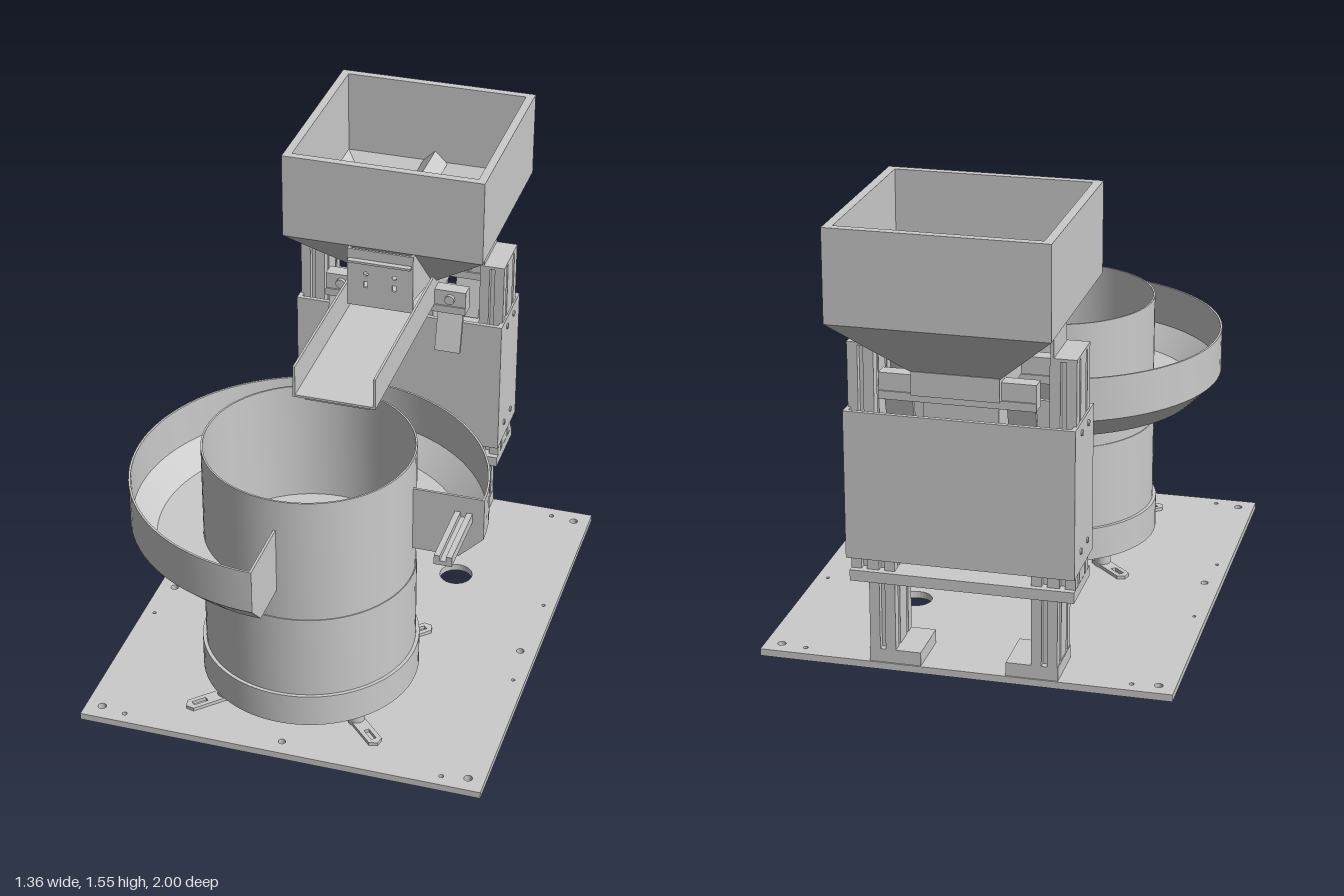
import * as THREE from 'three';
import { toCreasedNormals } from 'three/addons/utils/BufferGeometryUtils.js';

const material = new THREE.MeshStandardMaterial({ color: 0xcccccc, side: THREE.DoubleSide });
const BOWL_X = -0.026, BOWL_Z = 0.417, HOPPER_Z = -0.652;
const V = (pts) => pts.map(([x, y]) => new THREE.Vector2(x, y));

function add(parent, name, geo) {
  const m = new THREE.Mesh(geo, material);
  m.name = name;
  parent.add(m);
  return m;
}

// Box given by its limits on each axis
function box(parent, name, x0, x1, y0, y1, z0, z1) {
  const m = add(parent, name, new THREE.BoxGeometry(x1 - x0, y1 - y0, z1 - z0));
  m.position.set((x0 + x1) / 2, (y0 + y1) / 2, (z0 + z1) / 2);
  return m;
}

function lathe(parent, name, pts, segments, start = 0, length = Math.PI * 2) {
  return add(parent, name, toCreasedNormals(new THREE.LatheGeometry(V(pts), segments, start, length), 0.5));
}

function extrude(shape, depth) {
  return new THREE.ExtrudeGeometry(shape, { depth, bevelEnabled: false, curveSegments: 16 });
}

function hole(x, y, r) {
  return new THREE.Path().absarc(x, y, r, 0, Math.PI * 2, true);
}

// Slotted aluminium profile standing upright, long side along z
function profileColumn(parent, name, x, z, w, d, y0, y1) {
  const a = w / 2, b = d / 2, s = 0.009, n = 0.022, q = d / 4;
  const notchX = (x0, dir, c) => [[x0, c - dir * s], [x0 - dir * n, c - dir * s], [x0 - dir * n, c + dir * s], [x0, c + dir * s]];
  const pts = [
    [a, -b], ...notchX(a, 1, -q), ...notchX(a, 1, q), [a, b],
    [s, b], [s, b - n], [-s, b - n], [-s, b],
    [-a, b], ...notchX(-a, -1, q), ...notchX(-a, -1, -q), [-a, -b],
    [-s, -b], [-s, -b + n], [s, -b + n], [s, -b],
  ];
  const g = extrude(new THREE.Shape(V(pts)), y1 - y0);
  g.rotateX(-Math.PI / 2);
  add(parent, name, g).position.set(x, y0, z);
}

function basePlate(root) {
  const s = new THREE.Shape(V([[-0.68, -0.872], [0.68, -0.872], [0.68, 0.735], [-0.68, 0.735]]));
  s.holes.push(hole(0.3, 0.24, 0.057), hole(0, -0.815, 0.012));
  for (const k of [-1, 1]) {
    for (const [x, z, r] of [[0.625, -0.68, 0.014], [0.625, 0.815, 0.014], [0.625, 0.125, 0.013],
      [0.54, -0.69, 0.008], [0.54, 0.83, 0.008], [0.64, -0.15, 0.006], [0.64, 0.285, 0.006]]) {
      s.holes.push(hole(k * x, -z, r));
    }
  }
  const g = extrude(s, 0.024);
  g.rotateX(-Math.PI / 2);
  add(root, 'basePlate', g);
}

function bowlFeeder(root) {
  const bowl = new THREE.Group();
  bowl.name = 'bowlFeeder';
  bowl.position.set(BOWL_X, 0, BOWL_Z);
  root.add(bowl);

  // Drum with wider foot ring and open top
  lathe(bowl, 'drum', [[0, 0.07], [0.361, 0.07], [0.361, 0.185], [0.349, 0.185], [0.349, 0.484],
    [0.346, 0.484], [0.346, 0.93], [0.34, 0.93], [0.34, 0.5], [0, 0.5]], 72);

  // Collecting trough, three quarters of a turn
  lathe(bowl, 'trough', [[0.346, 0.59], [0.5, 0.59], [0.58, 0.67], [0.58, 0.82], [0.573, 0.82],
    [0.573, 0.673], [0.497, 0.598], [0.346, 0.598]], 64, Math.PI / 2, Math.PI * 1.5);
  const end = extrude(new THREE.Shape(V([[0.34, 0.59], [0.5, 0.59], [0.58, 0.67], [0.58, 0.82], [0.34, 0.82]])), 0.008);
  add(bowl, 'troughEndSide', end).position.z = -0.008;
  add(bowl, 'troughEndFront', end).rotation.y = -Math.PI / 2;

  // Channel rail reaching out from the trough's side end
  const rail = extrude(new THREE.Shape(V([[-0.029, 0], [0.029, 0], [0.029, 0.034], [0.01, 0.034],
    [0.01, 0.016], [-0.01, 0.016], [-0.01, 0.034], [-0.029, 0.034]])), 0.25);
  add(bowl, 'outletRail', rail).position.set(0.513, 0.728, 0);

  // Four slotted feet on the diagonals
  const foot = new THREE.Shape(V([[0.29, -0.024], [0.45, -0.024], [0.465, 0], [0.45, 0.024], [0.29, 0.024]]));
  foot.holes.push(new THREE.Path(V([[0.39, -0.009], [0.39, 0.009], [0.44, 0.009], [0.44, -0.009]])));
  const footGeo = extrude(foot, 0.012);
  footGeo.rotateX(-Math.PI / 2);
  for (let i = 0; i < 4; i++) {
    const g = new THREE.Group();
    g.name = 'foot';
    g.rotation.y = Math.PI / 4 + i * Math.PI / 2;
    add(g, 'footPlate', footGeo).position.y = 0.024;
    add(g, 'footPost', new THREE.CylinderGeometry(0.028, 0.028, 0.05, 20)).position.set(0.32, 0.048, 0);
    bowl.add(g);
  }
}

function hopper(root) {
  const g = new THREE.Group();
  g.name = 'hopper';
  root.add(g);
  // Square funnel: a four-sided lathe turned onto its flats
  const pts = [[0.135, 1.04], [0.348, 1.25], [0.348, 1.55], [0.32, 1.55], [0.32, 1.255], [0.125, 1.06], [0.135, 1.04]]
    .map(([h, y]) => [h * Math.SQRT2, y]);
  lathe(g, 'funnel', pts, 4, Math.PI / 4).position.z = HOPPER_Z;

  // Ridged deflector across the funnel
  const ridge = extrude(new THREE.Shape(V([[-0.045, 1.25], [0, 1.295], [0.045, 1.25], [0.038, 1.25], [0, 1.287], [-0.038, 1.25]])), 0.64);
  add(g, 'deflector', ridge).position.z = -0.972;

  // Front outlet: gate with two slots, and cheeks
  const gate = new THREE.Shape(V([[-0.115, 1.035], [0.115, 1.035], [0.115, 1.25], [-0.115, 1.25]]));
  for (const x of [-0.05, 0.05]) {
    gate.holes.push(hole(x, 1.16, 0.008));
    gate.holes.push(new THREE.Path(V([[x - 0.007, 1.108], [x - 0.007, 1.13], [x + 0.007, 1.13], [x + 0.007, 1.108]])));
  }
  add(g, 'gate', extrude(gate, 0.008)).position.z = -0.293;
  box(g, 'gateLip', -0.11, 0.11, 1.207, 1.215, -0.29, -0.265);
  const cheek = extrude(new THREE.Shape(V([[0.285, 1.25], [0.306, 1.25], [0.52, 1.05], [0.52, 1.035], [0.285, 1.08]])), 0.008);
  cheek.rotateY(Math.PI / 2);
  for (const x of [-0.115, 0.107]) add(g, 'outletCheek', cheek).position.x = x;
}

function vibratingTray(root) {
  const g = new THREE.Group();
  g.name = 'vibratingTray';
  root.add(g);
  box(g, 'trayFloor', -0.14, 0.14, 0.972, 0.98, -0.8, 0.235);
  box(g, 'trayBack', -0.14, 0.14, 0.98, 1.05, -0.8, -0.792);
  box(g, 'trayRunner', -0.11, 0.11, 0.945, 0.972, -0.5, 0.2);
  box(g, 'driveBody', -0.12, 0.12, 0.8, 0.93, -0.73, -0.53);
  // Side walls drop to the rear beneath the funnel
  const wall = extrude(new THREE.Shape(V([[-0.235, 0.972], [0.8, 0.972], [0.8, 1.05], [0.5, 1.05], [0.46, 1.085], [-0.235, 1.085]])), 0.008);
  wall.rotateY(Math.PI / 2);
  for (const x of [-0.14, 0.132]) add(g, 'trayWall', wall).position.x = x;
  // Cross bars with clamps and leaf springs, front and rear
  for (const z of [-0.5, -0.75]) {
    box(g, 'crossBar', -0.25, 0.25, 0.945, 0.972, z - 0.03, z + 0.03);
    for (const k of [-1, 1]) {
      const x = k * 0.195;
      box(g, 'clamp', x - 0.055, x + 0.055, 0.965, 1.03, z - 0.025, z + 0.025);
      const bolt = add(g, 'clampBolt', new THREE.CylinderGeometry(0.017, 0.017, 0.016, 16));
      bolt.rotation.x = Math.PI / 2;
      bolt.position.set(x, 1.0, z + 0.03);
      const spring = box(g, 'leafSpring', x - 0.045, x + 0.045, 0.8, 0.985, z + 0.015, z + 0.03);
      spring.rotation.x = -0.25;
    }
  }
}

function stand(root) {
  const g = new THREE.Group();
  g.name = 'stand';
  root.add(g);
  for (const k of [-1, 1]) {
    const span = (a, b) => (k > 0 ? [a, b] : [-b, -a]);
    // Lower post on its foot, and upper post outside it
    profileColumn(g, 'lowerPost', k * 0.265, -0.64, 0.085, 0.18, 0.05, 0.8);
    profileColumn(g, 'upperPost', k * 0.322, -0.64, 0.085, 0.18, 0.345, 1.1);
    box(g, 'postFoot', ...span(0.14, 0.31), 0.024, 0.07, -0.73, -0.55);
    box(g, 'postCap', ...span(0.28, 0.365), 1.095, 1.105, -0.73, -0.55);
    box(g, 'hopperBracket', ...span(0.282, 0.292), 0.95, 1.2, -0.73, -0.555);
    box(g, 'sideCover', ...span(0.355, 0.37), 0.395, 0.89, -0.77, -0.515);
    for (const z of [-0.595, -0.685]) {
      for (const y of [0.46, 0.855]) {
        const screw = add(g, 'coverScrew', new THREE.CylinderGeometry(0.01, 0.01, 0.006, 12));
        screw.rotation.z = Math.PI / 2;
        screw.position.set(k * 0.372, y, z);
      }
    }
  }
  box(g, 'backCover', -0.36, 0.36, 0.395, 0.89, -0.77, -0.755);
  box(g, 'frontCover', -0.36, 0.36, 0.395, 0.89, -0.53, -0.515);
  box(g, 'deck', -0.28, 0.28, 0.78, 0.8, -0.755, -0.53);
  box(g, 'shelf', -0.365, 0.365, 0.308, 0.345, -0.75, -0.53);
}

export function createModel() {
  const root = new THREE.Group();
  root.name = 'vibratoryFeeder';
  basePlate(root);
  bowlFeeder(root);
  hopper(root);
  vibratingTray(root);
  stand(root);
  return root;
}
